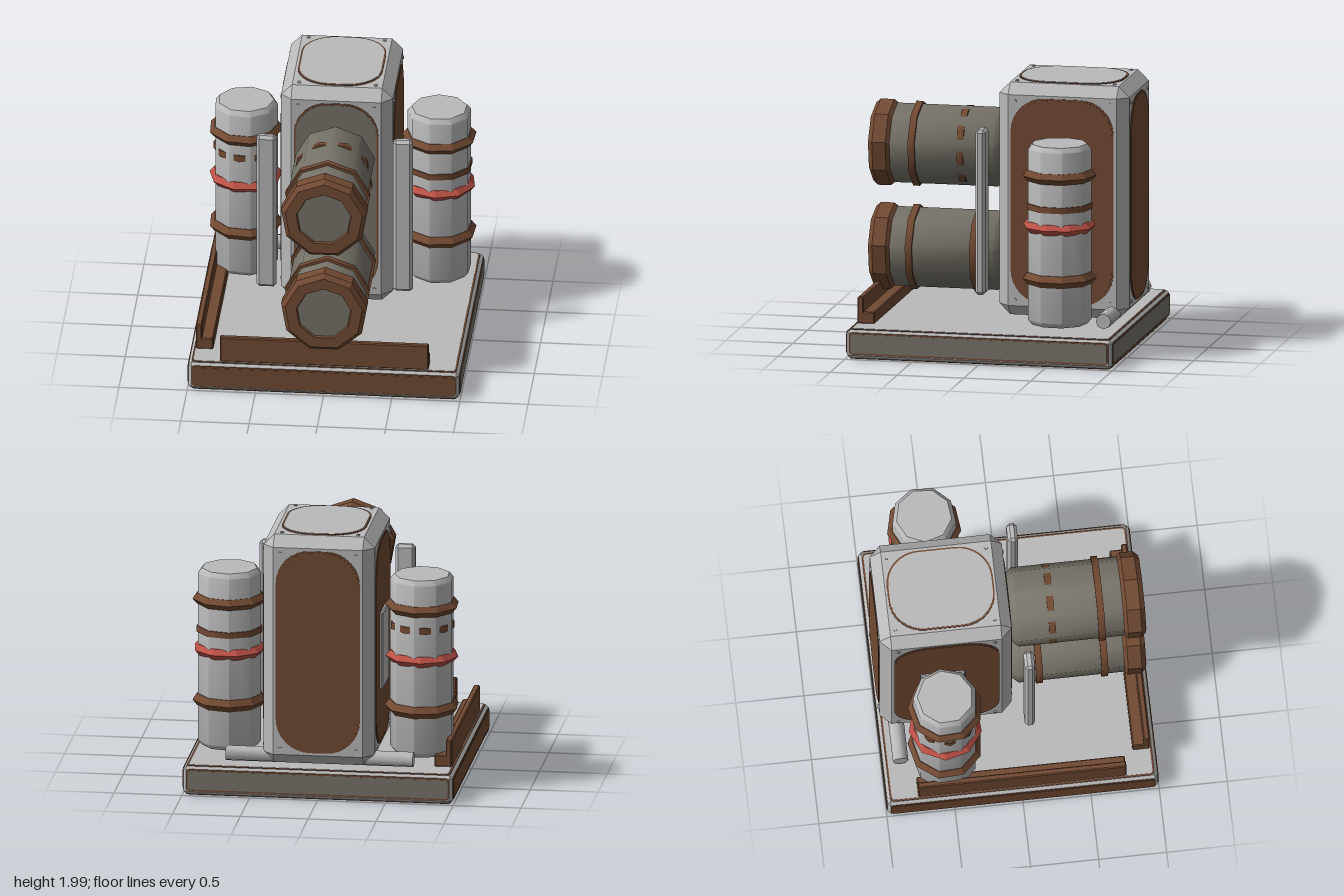
import * as THREE from 'three';
import { toCreasedNormals } from 'three/addons/utils/BufferGeometryUtils.js';
import { ConvexGeometry } from 'three/addons/geometries/ConvexGeometry.js';

const material = (name, color) => Object.assign(new THREE.MeshStandardMaterial({ color }), { name });
const SIDES = 9;
const STEP = Math.PI / SIDES;

export function createModel() {
  const grey = material('light grey', 0xbababa);
  const brown = material('brown', 0x724a33);
  const olive = material('olive grey', 0x78746a);
  const red = material('red', 0xbc5146);
  const model = new THREE.Group();
  model.name = 'machine';

  const add = (parent, name, geometry, mat, x = 0, y = 0, z = 0) => {
    const mesh = new THREE.Mesh(geometry, mat);
    mesh.name = name;
    mesh.position.set(x, y, z);
    parent.add(mesh);
    return mesh;
  };

  // Box with all edges and corners cut off
  const chamferBox = (w, h, d, c) => {
    const points = [];
    for (const sx of [-1, 1]) for (const sy of [-1, 1]) for (const sz of [-1, 1]) {
      const [x, y, z] = [w / 2, h / 2, d / 2];
      points.push(
        new THREE.Vector3(sx * x, sy * (y - c), sz * (z - c)),
        new THREE.Vector3(sx * (x - c), sy * y, sz * (z - c)),
        new THREE.Vector3(sx * (x - c), sy * (y - c), sz * z));
    }
    return new ConvexGeometry(points);
  };

  // Turned part along y from [radius, height] pairs
  const turned = (profile, crease = 0.75, phase = 0) => toCreasedNormals(
    new THREE.LatheGeometry(profile.map(p => new THREE.Vector2(...p)), SIDES, Math.PI + phase), crease);

  // Thin rounded plate facing +z
  const plate = (w, h, r, depth) => {
    const x = w / 2 - r, y = h / 2 - r, q = Math.PI / 2;
    const s = new THREE.Shape();
    s.absarc(x, y, r, 0, q);
    s.absarc(-x, y, r, q, 2 * q);
    s.absarc(-x, -y, r, 2 * q, 3 * q);
    s.absarc(x, -y, r, 3 * q, 4 * q);
    return new THREE.ExtrudeGeometry(s, { depth, bevelEnabled: false, curveSegments: r > 0.1 ? 4 : 1 });
  };
  const panel = (name, w, h, r, mat, position, rotation) => {
    const g = new THREE.Group();
    g.name = name;
    add(g, 'panelRim', plate(w, h, r, 0.005), brown);
    add(g, 'panelFace', plate(w - 0.024, h - 0.024, r - 0.008, 0.008), mat);
    g.position.set(...position);
    g.rotation.set(...rotation);
    model.add(g);
    return g;
  };
  const Q = Math.PI / 2;

  // Base slab with an inset panel on every side
  add(model, 'base', chamferBox(1.984, 0.209, 1.984, 0.022), grey, 0, 0.1125, 0);
  panel('baseTop', 1.94, 1.94, 0.03, grey, [0, 0.217, 0], [-Q, 0, 0]);
  panel('baseBottom', 1.95, 1.95, 0.03, olive, [0, 0.008, 0], [Q, 0, 0]);
  [brown, olive, olive, brown].forEach((mat, i) => {
    const a = i * Q;
    panel('baseSide', 1.94, 0.165, 0.025, mat,
      [0.992 * Math.sin(a), 0.118, 0.992 * Math.cos(a)], [0, a, 0]);
  });

  // Main housing
  const [W, H, D, CY, CZ] = [0.82, 1.73, 0.97, 1.118, -0.495];
  add(model, 'housing', chamferBox(W, H, D, 0.08), grey, 0, CY, CZ);
  const faces = [
    ['housingFront', 0.62, 1.53, olive, [0, CY, CZ + D / 2], [0, 0, 0]],
    ['housingBack', 0.62, 1.53, brown, [0, CY, CZ - D / 2], [0, Math.PI, 0]],
    ['housingLeft', 0.77, 1.53, brown, [W / 2, CY, CZ], [0, Q, 0]],
    ['housingRight', 0.77, 1.53, brown, [-W / 2, CY, CZ], [0, -Q, 0]],
    ['housingTop', 0.62, 0.78, grey, [0, CY + H / 2, CZ], [-Q, 0, 0]],
  ];
  for (const [name, w, h, mat, position, rotation] of faces) {
    const g = panel(name, w, h, 0.25, mat, position, rotation);
    // Bolt in each corner of the face
    for (const sx of [-1, 1]) for (const sy of [-1, 1]) {
      const bolt = add(g, 'bolt', new THREE.CylinderGeometry(0.014, 0.014, 0.012, 6), grey,
        sx * (w / 2 - 0.03), sy * (h / 2 - 0.025), 0.003);
      bolt.rotation.x = Q;
    }
  }
  add(model, 'sidePlate', chamferBox(0.03, 0.58, 0.33, 0.01), grey, -0.425, 1.06, -0.525);

  // Two forward barrels with bands and a heavy end collar
  const band = (r, width, phase = 0) => turned(
    [[r - 0.05, -width / 2], [r, -width / 2], [r, width / 2], [r - 0.05, width / 2]], 0.75, phase);
  const barrel = (name, y, bands) => {
    const g = new THREE.Group();
    g.name = name;
    add(g, 'barrelBody', turned([[0, 0], [0.25, 0], [0.295, 0.05], [0.295, 0.86], [0, 0.86]]), olive);
    for (const [at, r, phase] of bands) add(g, 'barrelBand', band(r, 0.05, phase), brown, 0, at, 0);
    add(g, 'endCollar', turned([[0.25, 0.825], [0.295, 0.825], [0.32, 0.85], [0.32, 0.95],
      [0.288, 0.985], [0.205, 0.985], [0.195, 0.955]], 0.3), brown);
    add(g, 'barrelEnd', turned([[0.2, 0.86], [0.2, 0.965], [0, 0.965]]), olive);
    g.rotation.x = Q;
    g.position.y = y;
    model.add(g);
  };
  barrel('upperBarrel', 1.43, [[0.66, 0.315, 0], [0.3, 0.297, STEP]]);
  barrel('lowerBarrel', 0.66, [[0.68, 0.315, 0], [0.2, 0.315, 0]]);

  // Upright tanks with pointed hoops
  const hoop = (r, h) => turned([[0.2, -h / 2], [r - 0.035, -h / 2], [r, 0], [r - 0.035, h / 2], [0.2, h / 2]], 0.3);
  for (const side of [-1, 1]) {
    const g = new THREE.Group();
    g.name = side > 0 ? 'leftTank' : 'rightTank';
    add(g, 'tankBody', turned([[0, 0.28], [0.205, 0.28], [0.235, 0.315],
      [0.235, 1.585], [0.205, 1.62], [0, 1.62]]), grey);
    add(g, 'upperHoop', hoop(0.275, 0.08), brown, 0, 1.39, 0);
    add(g, 'redHoop', hoop(0.27, 0.08), red, 0, 1.01, 0).rotation.y = 0.2;
    add(g, 'lowerHoop', hoop(0.275, 0.09), brown, 0, 0.625, 0);
    if (side > 0) add(g, 'tankBand', band(0.245, 0.045), brown, 0, 1.16, 0);
    else add(g, 'tankBand', band(0.237, 0.05, STEP), brown, 0, 1.245, 0);
    g.position.set(side * 0.71, 0, -0.54);
    g.rotation.y = side * 0.12;
    model.add(g);

    // Tall bar beside the housing
    add(model, side > 0 ? 'leftBar' : 'rightBar', chamferBox(0.145, 1.23, 0.075, 0.022), grey,
      side * 0.5, 1.045, side > 0 ? 0.085 : 0.1);
  }

  // Stepped rails on the front and right edges, outer side along +z
  const rail = (name, angle) => {
    const g = new THREE.Group();
    g.name = name;
    add(g, 'railWall', chamferBox(1.53, 0.2, 0.045, 0.008), brown, 0, 0.322, 0.935);
    add(g, 'railStep', chamferBox(1.53, 0.09, 0.1, 0.008), brown, 0, 0.267, 0.88);
    g.rotation.y = angle;
    model.add(g);
  };
  rail('frontRail', 0);
  rail('rightRail', -Q);

  // Pipe across the back
  const pipe = toCreasedNormals(new THREE.CylinderGeometry(0.057, 0.057, 1.38, 8), 0.9);
  add(model, 'rearPipe', pipe, grey, 0, 0.3, -0.865).rotation.z = Q;

  return model;
}
